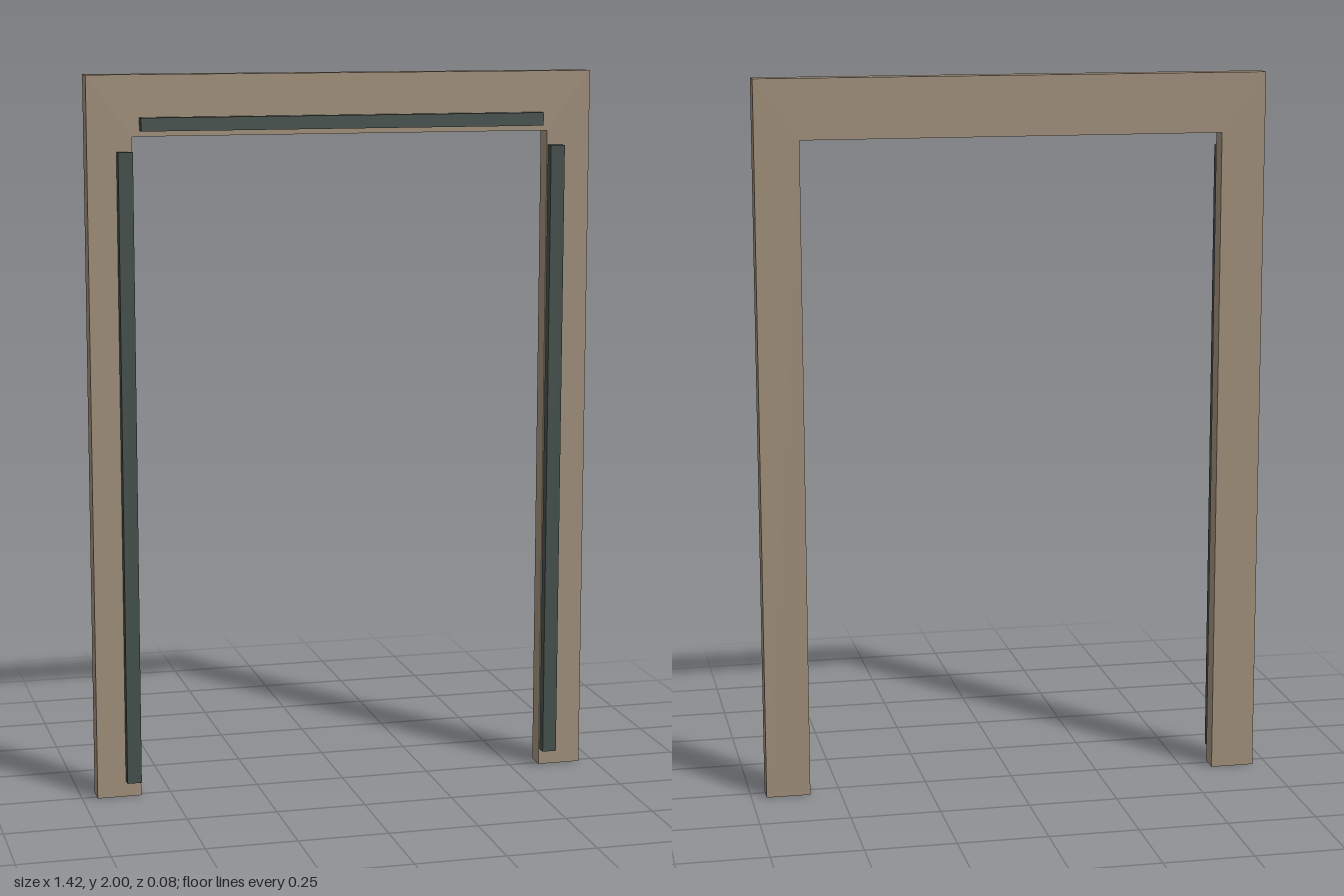
import * as THREE from 'three';

export function createModel() {
  const model = new THREE.Group();
  model.name = 'doorFrame';

  const casing = new THREE.MeshStandardMaterial({ color: 0x9e8d78 });
  casing.name = 'taupe casing';
  const seal = new THREE.MeshStandardMaterial({ color: 0x424e4a });
  seal.name = 'dark grey green strip';

  const W = 0.708, IN = 0.585, H = 2, HEAD = 1.835;
  const BACK = -0.042, FACE = 0.014, FRONT = 0.042;

  // Casing: two jambs and a head as one continuous outline
  const outline = new THREE.Shape([
    [-W, 0], [-IN, 0], [-IN, HEAD], [IN, HEAD], [IN, 0], [W, 0], [W, H], [-W, H],
  ].map(([x, y]) => new THREE.Vector2(x, y)));
  const frame = new THREE.Mesh(
    new THREE.ExtrudeGeometry(outline, { depth: FACE - BACK, bevelEnabled: false }), casing);
  frame.position.z = BACK;
  frame.name = 'frame';
  model.add(frame);

  // Strips mounted on the front face
  const addStrip = (name, w, h, x, y) => {
    const strip = new THREE.Mesh(new THREE.BoxGeometry(w, h, FRONT - FACE), seal);
    strip.position.set(x, y, (FACE + FRONT) / 2);
    strip.name = name;
    model.add(strip);
  };
  addStrip('leftStrip', 0.04, 1.75, 0.608, 0.92);
  addStrip('rightStrip', 0.04, 1.75, -0.608, 0.92);
  addStrip('headStrip', 1.13, 0.036, 0, 1.868);

  return model;
}
